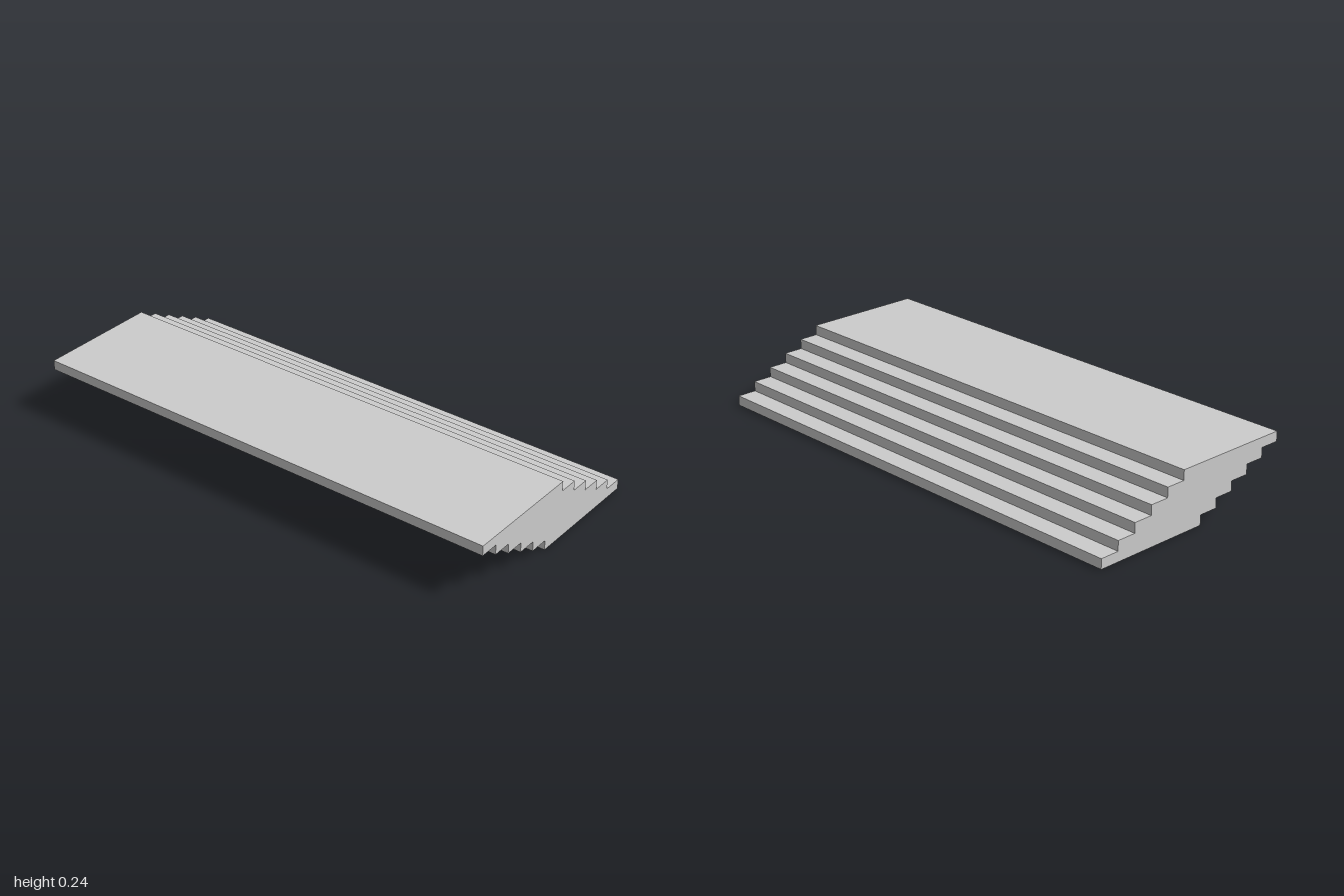
import * as THREE from 'three';

const STEPS = 6;
const WIDTH = 2;
const RISE = 0.04;   // height of each slab
const RUN = 0.08;    // forward shift from one slab to the next
const DEPTH = 0.496; // depth of each slab

export function createModel() {
  const group = new THREE.Group();
  group.name = 'staircase';
  const material = new THREE.MeshStandardMaterial({ color: 0xcccccc, flatShading: true });
  const slab = new THREE.BoxGeometry(WIDTH, RISE, DEPTH);

  // Equal slabs stacked upward, each shifted toward the front
  for (let i = 0; i < STEPS; i++) {
    const step = new THREE.Mesh(slab, material);
    step.name = `step${i + 1}`;
    step.position.set(0, (i + 0.5) * RISE, (i - (STEPS - 1) / 2) * RUN);
    group.add(step);
  }
  return group;
}
